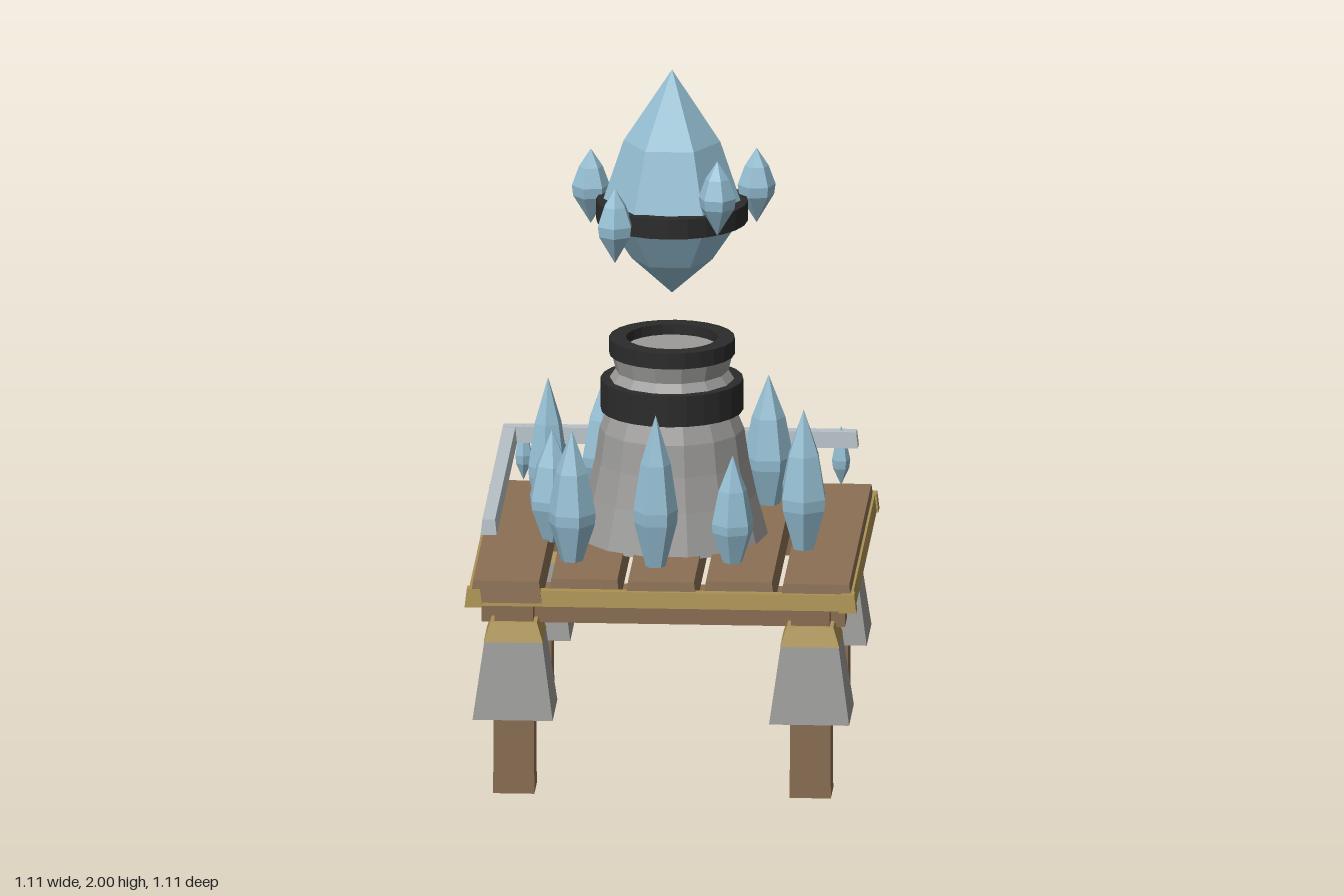
import * as THREE from 'three';

const mat = (name, color) => Object.assign(new THREE.MeshStandardMaterial({ color }), { name });

export function createModel() {
  const root = new THREE.Group();
  root.name = 'crystalShrine';
  const wood = mat('wood', 0x8a6f53);
  const brass = mat('brass', 0xab9152);
  const stone = mat('stone', 0x9c9b99);
  const iron = mat('iron', 0x2b2b2b);
  const crystal = mat('crystal', 0x95bfd3);
  const rail = mat('paleMetal', 0xb6c1c6);

  // Adds a faceted mesh
  function add(parent, name, geometry, material, x = 0, y = 0, z = 0, turn = 0) {
    const g = geometry.index ? geometry.toNonIndexed() : geometry;
    g.computeVertexNormals();
    const mesh = new THREE.Mesh(g, material);
    mesh.name = name;
    mesh.position.set(x, y, z);
    mesh.rotation.y = turn;
    parent.add(mesh);
    return mesh;
  }

  // Box standing on its base whose top is inset on all sides
  function taperedBox(w, h, d, inset = 0) {
    const g = new THREE.BoxGeometry(w, h, d).translate(0, h / 2, 0);
    const p = g.attributes.position;
    for (let i = 0; i < p.count; i++) {
      if (p.getY(i) > h / 2) {
        p.setX(i, p.getX(i) - Math.sign(p.getX(i)) * inset);
        p.setZ(i, p.getZ(i) - Math.sign(p.getZ(i)) * inset);
      }
    }
    return g;
  }

  const lathe = (points, sides) =>
    new THREE.LatheGeometry(points.map(([r, y]) => new THREE.Vector2(r, y)), sides);

  const ring = (inner, outer, y0, y1, sides = 24) =>
    lathe([[inner, y0], [outer, y0], [outer, y1], [inner, y1], [inner, y0]], sides);

  // Legs: post, stone skirt and brass collar
  for (const sx of [-1, 1]) {
    for (const sz of [-1, 1]) {
      const leg = new THREE.Group();
      leg.name = 'leg';
      leg.position.set(sx * 0.42, 0, sz * 0.42);
      root.add(leg);
      add(leg, 'post', taperedBox(0.117, 0.57, 0.117, 0.004), wood);
      add(leg, 'skirt', taperedBox(0.227, 0.22, 0.227, 0.031), stone, 0, 0.23, 0);
      add(leg, 'collar', taperedBox(0.168, 0.055, 0.168, 0.018), brass, 0, 0.45, 0);
    }
  }

  // Cross beams and brass edge boards
  for (const s of [-1, 1]) {
    add(root, 'crossBeam', taperedBox(1.03, 0.09, 0.1), wood, 0, 0.488, s * 0.37);
    add(root, 'edgeBoard', taperedBox(1.1, 0.045, 0.04, 0.006), brass, 0, 0.57, s * 0.53);
    add(root, 'sideBoard', taperedBox(0.04, 0.045, 1.06, 0.006), brass, s * 0.53, 0.569, 0);
    for (const t of [-1, 1]) {
      add(root, 'cornerBlock', taperedBox(0.05, 0.052, 0.05, 0.006), brass, s * 0.53, 0.566, t * 0.53);
    }
  }

  // Deck planks: centre x, back z, front z
  const planks = [
    [-0.438, -0.52, 0.553], [-0.218, -0.53, 0.522], [0, -0.52, 0.535],
    [0.22, -0.54, 0.522], [0.44, -0.54, 0.535],
  ];
  for (const [x, z0, z1] of planks) {
    add(root, 'plank', taperedBox(0.203, 0.062, z1 - z0, 0.008), wood, x, 0.58, (z0 + z1) / 2);
  }

  // Stone urn with iron bands
  add(root, 'urn', lathe([
    [0, 0.635], [0.274, 0.635], [0.24, 0.76], [0.218, 0.86], [0.205, 0.95], [0.18, 1.01],
    [0.18, 1.09], [0.16, 1.12], [0.172, 1.17], [0.14, 1.185], [0, 1.185],
  ], 14), stone, 0, 0, 0, Math.PI / 2);
  add(root, 'shoulderBand', ring(0.15, 0.202, 1.005, 1.095), iron);
  add(root, 'rimBand', ring(0.13, 0.178, 1.168, 1.215), iron);

  // Floating main crystal with its iron ring
  add(root, 'floatingCrystal', lathe([
    [0, 1.345], [0.115, 1.445], [0.192, 1.56], [0.197, 1.61], [0.137, 1.79], [0, 2],
  ], 6), crystal, 0, 0, 0, Math.PI / 2);
  add(root, 'floatingRing', ring(0.178, 0.215, 1.56, 1.618), iron);

  // Small orbiting crystals: x, centre y, z
  const shards = [
    [0, 1.7, -0.25], [0.235, 1.64, -0.08], [0.14, 1.675, 0.195],
    [-0.15, 1.59, 0.195], [-0.235, 1.63, -0.08],
  ];
  shards.forEach(([x, y, z], i) => add(root, 'orbitingCrystal', lathe([
    [0, -0.107], [0.05, -0.025], [0.054, 0.005], [0.034, 0.06], [0, 0.112],
  ], 6), crystal, x, y, z, i * 0.7));

  // Crystals standing on the deck: x, z, radius, tip height
  const standing = [
    [-0.215, -0.34, 0.065, 0.99], [0.02, -0.34, 0.063, 1.08], [0.255, -0.315, 0.07, 1.02],
    [0.365, -0.095, 0.06, 0.955], [0.382, 0.15, 0.07, 1.05], [0.19, 0.305, 0.061, 0.955],
    [-0.025, 0.36, 0.063, 1.085], [-0.265, 0.315, 0.069, 1.025], [-0.335, 0.08, 0.07, 0.96],
    [-0.36, -0.145, 0.059, 1.05],
  ];
  standing.forEach(([x, z, r, top], i) => {
    const h = top - 0.635;
    add(root, 'standingCrystal', lathe([
      [0, 0], [r * 0.42, 0], [r * 0.97, h * 0.3], [r, h * 0.38], [r * 0.68, h * 0.68], [0, h],
    ], 6), crystal, x, 0.635, z, i * 0.8);
  });

  // Corner rail along the back and the right side
  add(root, 'backRail', taperedBox(1.01, 0.046, 0.046, 0.005), rail, -0.006, 0.764, -0.49);
  add(root, 'sideRail', taperedBox(0.046, 0.045, 1.01, 0.005), rail, -0.49, 0.7635, -0.006);

  // Hanging crystals below the back rail
  for (let i = 0; i < 10; i++) {
    const low = 0.65 + 0.012 * (i % 3);
    const top = [0.815, 0.825, 0.83, 0.84][i % 4];
    add(root, 'hangingCrystal', lathe([
      [0, low], [0.023, low + 0.05], [0.026, low + 0.075], [0.017, low + 0.12], [0, top],
    ], 6), crystal, -0.45 + i * 0.1, 0, -0.49, i);
  }

  return root;
}
